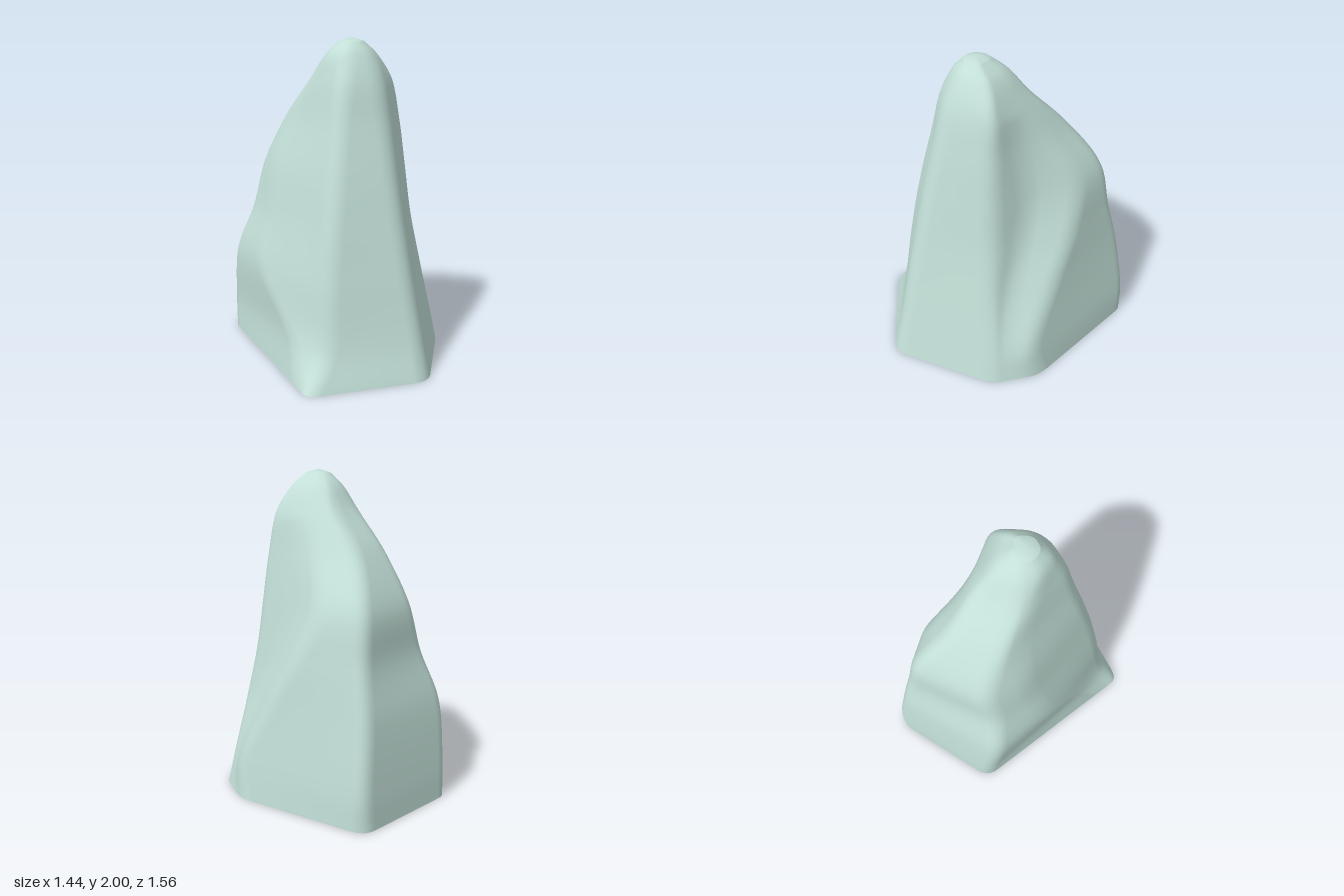
import * as THREE from 'three';

// Horizontal cross-sections: height, then corners (x, z) in order
// back, back bulge, right edge, front right, front ridge, front ledge, left
const sections = [
  [0, -.39, -.80, .47, -.54, .67, -.30, .73, .40, .09, .80, 0, .70, -.74, -.12],
  [.2, -.38, -.80, .49, -.50, .63, -.28, .685, .375, .15, .675, -.06, .57, -.735, -.10],
  [.6, -.37, -.73, .29, -.53, .55, -.235, .60, .33, .15, .60, -.38, .27, -.69, -.05],
  [.9, -.34, -.66, .11, -.56, .49, -.22, .54, .29, .15, .54, -.37, .17, -.57, -.06],
  [1.2, -.32, -.59, -.02, -.53, .455, -.20, .48, .25, .15, .465, -.34, .11, -.50, -.11],
  [1.5, -.22, -.38, .02, -.36, .42, -.18, .42, .20, .15, .38, -.22, .08, -.33, -.04],
  [1.75, -.04, -.21, .08, -.21, .375, -.15, .36, .16, .16, .31, -.07, .13, -.13, .03],
  [1.9, .03, -.09, .10, -.11, .29, -.08, .30, .11, .16, .23, .02, .15, -.02, .04],
  [1.98, .09, .01, .13, -.01, .22, .01, .22, .10, .15, .14, .09, .11, .07, .05],
];
const CORNERS = 8, ARC = 7, ROWS = 72;

// Smooth vertical path followed by each corner
const tracks = Array.from({ length: CORNERS - 1 }, (_, i) => new THREE.CatmullRomCurve3(
  sections.map(s => new THREE.Vector3(s[1 + 2 * i], s[0], s[2 + 2 * i])), false, 'centripetal'));

// Polygon ring with every corner softened by a small quadratic arc
function roundedRing(t) {
  const corners = tracks.map(c => c.getPoint(t));
  // Groove between the back bulge and the right edge, fading out near the top
  const groove = corners[1].clone().lerp(corners[2], 0.5);
  groove.z += 0.08 * Math.sin(Math.PI * Math.min(1, groove.y / 1.7));
  corners.splice(2, 0, groove);

  return corners.flatMap((p, i) => {
    const toward = q => p.clone().lerp(q, Math.min(0.42, 0.09 / p.distanceTo(q)));
    const start = toward(corners[(i + CORNERS - 1) % CORNERS]);
    const end = toward(corners[(i + 1) % CORNERS]);
    return new THREE.QuadraticBezierCurve3(start, p, end).getPoints(ARC - 1);
  });
}

function rockGeometry() {
  const positions = [], index = [], n = CORNERS * ARC;
  for (let r = 0; r <= ROWS; r++) {
    for (const p of roundedRing(r / ROWS)) positions.push(p.x, p.y, p.z);
  }
  for (let r = 0; r < ROWS; r++) {
    for (let j = 0; j < n; j++) {
      const a = r * n + j, b = r * n + (j + 1) % n;
      index.push(a, a + n, b, b, a + n, b + n);
    }
  }
  // Close the summit; the underside stays open
  const tip = positions.length / 3;
  positions.push(0.15, 2, 0.06);
  for (let j = 0; j < n; j++) index.push(ROWS * n + j, tip, ROWS * n + (j + 1) % n);

  const geometry = new THREE.BufferGeometry();
  geometry.setAttribute('position', new THREE.Float32BufferAttribute(positions, 3));
  geometry.setIndex(index);
  geometry.computeVertexNormals();
  return geometry;
}

export function createModel() {
  const group = new THREE.Group();
  group.name = 'standingRock';
  const material = new THREE.MeshStandardMaterial({ color: 0xc2dfd7, side: THREE.DoubleSide });
  const rock = new THREE.Mesh(rockGeometry(), material);
  rock.name = 'rock';
  group.add(rock);
  return group;
}
